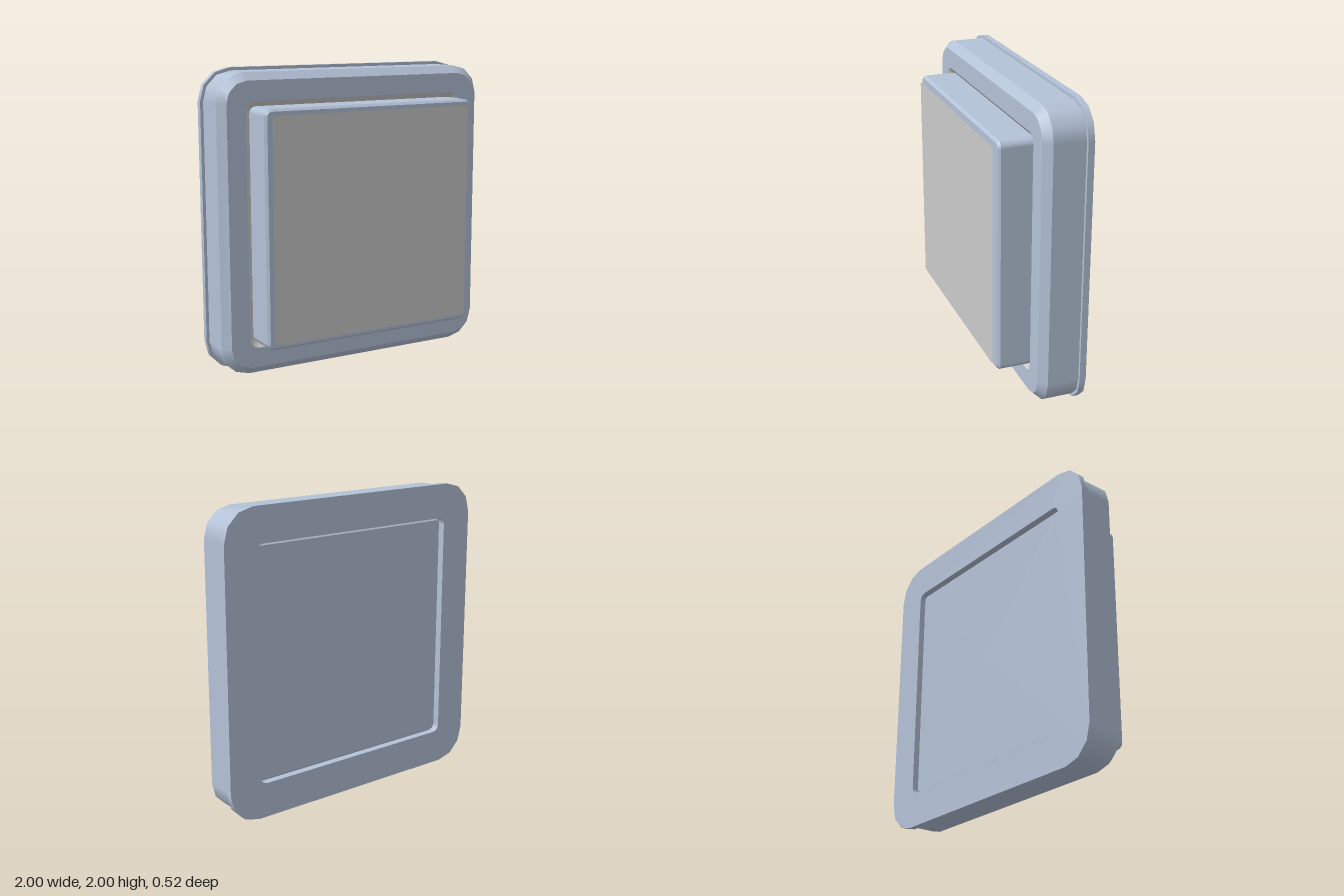
import * as THREE from 'three';

const STEPS = 3; // facets per rounded corner

// Rounded square outline, counter-clockwise seen from +z: [x, y, angle]
function ring(half, radius) {
  const points = [];
  for (let corner = 0; corner < 4; corner++) {
    const mid = (corner + 0.5) * Math.PI / 2;
    const cx = Math.sign(Math.cos(mid)) * (half - radius);
    const cy = Math.sign(Math.sin(mid)) * (half - radius);
    for (let s = 0; s <= STEPS; s++) {
      const a = (corner + s / STEPS) * Math.PI / 2;
      points.push([cx + radius * Math.cos(a), cy + radius * Math.sin(a), a]);
    }
  }
  return points;
}

// Skin through sections [half width, corner radius, z]:
// smooth around the corners, sharp between neighbouring bands
function loft(name, sections, material) {
  const position = [], normal = [], index = [];
  for (let k = 0; k < sections.length - 1; k++) {
    const band = [sections[k], sections[k + 1]];
    const out = band[1][0] - band[0][0], rise = band[1][2] - band[0][2];
    const length = Math.hypot(out, rise);
    const start = position.length / 3;
    for (const [half, radius, z] of band) {
      for (const [x, y, a] of ring(half, radius)) {
        position.push(x, y, z);
        normal.push(Math.cos(a) * rise / length, Math.sin(a) * rise / length, -out / length);
      }
    }
    const n = 4 * (STEPS + 1);
    for (let i = 0; i < n; i++) {
      const a = start + i, b = start + (i + 1) % n;
      index.push(a, b, b + n, a, b + n, a + n);
    }
  }
  const geometry = new THREE.BufferGeometry();
  geometry.setAttribute('position', new THREE.Float32BufferAttribute(position, 3));
  geometry.setAttribute('normal', new THREE.Float32BufferAttribute(normal, 3));
  geometry.setIndex(index);
  const mesh = new THREE.Mesh(geometry, material);
  mesh.name = name;
  return mesh;
}

export function createModel() {
  const blue = new THREE.MeshStandardMaterial({ color: 0xb4c2d7 });
  const grey = new THREE.MeshStandardMaterial({ color: 0xcccccc });
  const sheet = new THREE.MeshStandardMaterial({ color: 0xcccccc, side: THREE.DoubleSide });
  const model = new THREE.Group();
  model.name = 'pushButton';

  const parts = new THREE.Group();
  parts.name = 'button';
  parts.position.y = 1;
  model.add(parts);

  // Housing: inner wall, back face, thin rear flange, body, chamfer and front face
  parts.add(loft('housing', [
    [0.77, 0.045, 0.01], [0.77, 0.045, -0.262], [1, 0.21, -0.262], [1, 0.21, -0.22],
    [0.98, 0.19, -0.22], [0.98, 0.19, -0.013], [0.93, 0.14, 0.037], [0.8, 0.06, 0.037],
  ], blue));

  // Sloped seat between the housing front and the cap
  parts.add(loft('openingBevel', [[0.8, 0.06, 0.037], [0.767, 0.045, 0.01]], grey));

  // Button cap: sunken bevelled back, straight sides, bevelled front
  parts.add(loft('buttonCap', [
    [0, 0, -0.232], [0.752, 0.03, -0.232], [0.767, 0.045, -0.217], [0.767, 0.045, 0.224],
    [0.751, 0.03, 0.241], [0, 0, 0.241],
  ], blue));

  // Thin label sheet just in front of the cap
  const label = new THREE.Mesh(
    new THREE.ShapeGeometry(new THREE.Shape(ring(0.727, 0.02).map(([x, y]) => new THREE.Vector2(x, y)))),
    sheet,
  );
  label.name = 'labelSheet';
  label.position.z = 0.262;
  parts.add(label);

  return model;
}
